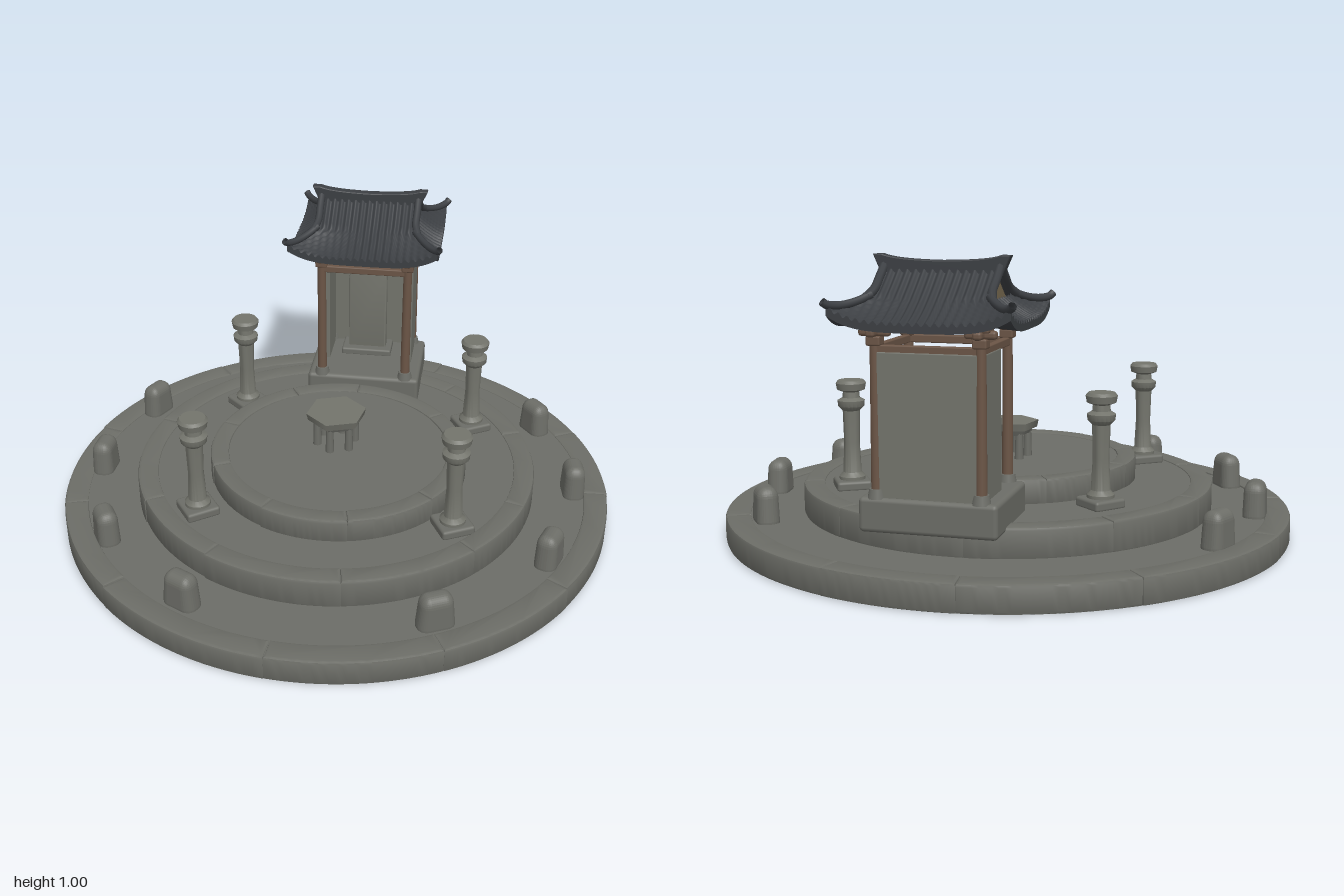
import * as THREE from 'three';
import { toCreasedNormals } from 'three/addons/utils/BufferGeometryUtils.js';
import { RoundedBoxGeometry } from 'three/addons/geometries/RoundedBoxGeometry.js';
import { ParametricGeometry } from 'three/addons/geometries/ParametricGeometry.js';

const mat = (color, side = THREE.FrontSide) => new THREE.MeshStandardMaterial({ color, side });
const stone = mat(0x6c6d67);
const paleStone = mat(0x73746c);
const wood = mat(0x6b5546);
const tile = mat(0x3c3f43, THREE.DoubleSide);
const plaster = mat(0x76684f, THREE.DoubleSide);

let seed = 7;
const rand = () => (seed = (seed * 16807) % 2147483647) / 2147483647;

function add(parent, name, geometry, material, x = 0, y = 0, z = 0, ry = 0) {
  const mesh = new THREE.Mesh(geometry, material);
  mesh.name = name;
  mesh.position.set(x, y, z);
  mesh.rotation.y = ry;
  parent.add(mesh);
  return mesh;
}

const box = (w, h, d, r = 0.01) => new RoundedBoxGeometry(w, h, d, 2, r);
const lathe = (points, n = 20) =>
  toCreasedNormals(new THREE.LatheGeometry(points.map(p => new THREE.Vector2(...p)), n), 0.7);

// Round terrace: a floor disc edged with curved kerb stones
function terrace(name, outer, inner, y0, y1, count, cz, turn) {
  const g = new THREE.Group();
  g.name = name;
  g.position.z = cz;
  const top = y1 - 0.008;
  add(g, 'floor', new THREE.CylinderGeometry(outer - 0.012, outer - 0.012, top - y0, 96), stone, 0, (top + y0) / 2);
  const b = 0.01;
  const cuts = Array.from({ length: count }, (_, i) => turn + ((i + (rand() - 0.5) * 0.35) / count) * Math.PI * 2);
  cuts.forEach((a0, i) => {
    const a1 = i < count - 1 ? cuts[i + 1] : cuts[0] + Math.PI * 2;
    const ro = outer - b - rand() * 0.006, ri = inner + b, gap = b * 0.9;
    const s = new THREE.Shape();
    s.absarc(0, 0, ro, a0 + gap / ro, a1 - gap / ro, false);
    s.absarc(0, 0, ri, a1 - gap / ri, a0 + gap / ri, true);
    const h = y1 - y0 - rand() * 0.004;
    const geo = new THREE.ExtrudeGeometry(s, {
      depth: h - 2 * b, bevelSize: b, bevelThickness: b, bevelSegments: 2, curveSegments: 14
    });
    geo.rotateX(-Math.PI / 2);
    add(g, 'kerbStone', toCreasedNormals(geo, 0.5), stone, 0, y0 + b, 0);
  });
  return g;
}

// Stone lamp post on a square foot
function lampPost(x, z, ry) {
  const g = new THREE.Group();
  g.name = 'lampPost';
  g.position.set(x, 0.18, z);
  g.rotation.y = ry;
  add(g, 'foot', box(0.12, 0.035, 0.12), stone, 0, 0.012);
  add(g, 'column', lathe([[0.045, 0.02], [0.045, 0.04], [0.032, 0.055], [0.027, 0.16], [0.03, 0.27],
    [0.045, 0.285], [0.047, 0.305], [0.03, 0.315], [0.028, 0.335], [0.048, 0.343], [0.052, 0.365],
    [0.044, 0.375], [0, 0.375]]), paleStone);
  return g;
}

// Boundary stone with a narrowed, rounded top
function boundaryStone(x, z) {
  const geo = new RoundedBoxGeometry(0.135, 0.15, 0.08, 4, 0.035);
  const p = geo.attributes.position;
  for (let i = 0; i < p.count; i++) {
    const k = 1 - 0.22 * (p.getY(i) / 0.15 + 0.5);
    p.setX(i, p.getX(i) * k);
    p.setZ(i, p.getZ(i) * (0.5 + k / 2));
  }
  geo.computeVertexNormals();
  const m = new THREE.Mesh(geo, stone);
  m.name = 'boundaryStone';
  m.position.set(x, 0.132, z);
  m.rotation.y = Math.atan2(x, z) + (rand() - 0.5) * 0.2;
  return m;
}

function table() {
  const g = new THREE.Group();
  g.name = 'table';
  add(g, 'tableTop', new THREE.CylinderGeometry(0.11, 0.104, 0.026, 6).toNonIndexed(), paleStone, 0, 0.372, 0, Math.PI / 6);
  add(g, 'tableApron', new THREE.CylinderGeometry(0.09, 0.082, 0.02, 6), stone, 0, 0.35, 0, Math.PI / 6);
  for (let i = 0; i < 6; i++) {
    const a = (i * Math.PI) / 3;
    add(g, 'tableLeg', new THREE.CylinderGeometry(0.013, 0.016, 0.1, 8), stone, 0.07 * Math.cos(a), 0.3, 0.07 * Math.sin(a));
  }
  return g;
}

// Hip-and-gable roof with corrugated tiles and upturned corners
function roof() {
  const g = new THREE.Group();
  g.name = 'roof';
  const HX = 0.28, HZ = 0.245, GX = 0.185, T0 = 0.5, LIFT = 0.045;
  const profile = t => 0.812 + 0.155 * Math.pow(1 - t, 1.35);
  const lift = (u, t) => LIFT * Math.pow(Math.abs(u), 4) * t ** 3;
  const halfWidth = t => (t < T0 ? GX : GX + ((HX - GX) * (t - T0)) / (1 - T0));
  const rib = c => 0.006 * Math.cos(c * 235);
  const front = (u, t, s) => new THREE.Vector3(u * halfWidth(t), profile(t) + lift(u, t), s * t * HZ);
  const skirt = (v, k, s) => {
    const t = T0 + (1 - T0) * k;
    return new THREE.Vector3(s * halfWidth(t), profile(t) + lift(v, t), v * t * HZ);
  };
  const surface = (name, fn, nu, nv, material = tile) => {
    const geo = new ParametricGeometry((u, v, out) => out.copy(fn(u * 2 - 1, v)), nu, nv);
    geo.computeVertexNormals();
    add(g, name, geo, material);
  };
  const ridgeTube = (name, pts, r) =>
    add(g, name, new THREE.TubeGeometry(new THREE.CatmullRomCurve3(pts), 24, r, 8), tile);

  for (const s of [1, -1]) {
    // Tiled slopes, eave edges and soffits
    const faces = [
      [(u, t) => front(u, t, s), 120, 12, 0],
      [(u, t) => skirt(u, t, s), 100, 8, 2]
    ];
    for (const [fn, nu, nv, axis] of faces) {
      const tiled = (u, t) => {
        const p = fn(u, t);
        p.y += rib(p.getComponent(axis));
        return p;
      };
      surface('tiledSlope', tiled, nu, nv);
      surface('eaveEdge', (u, k) => {
        const p = tiled(u, 1), q = fn(u, 1);
        q.y -= 0.026;
        return p.lerp(q, k);
      }, nu, 1);
      surface('soffit', (u, k) => {
        const p = fn(u, 1);
        p.y -= 0.026;
        return p.lerp(new THREE.Vector3(0, 0.796, 0), k);
      }, 24, 4);
    }
    // Gable wall above the side skirt
    surface('gableWall', (u, k) => {
      const top = profile(Math.abs(u) * T0);
      return new THREE.Vector3(s * (GX - 0.02), THREE.MathUtils.lerp(profile(T0) - 0.02, top, k), u * T0 * HZ);
    }, 16, 2, plaster);
    // Descending gable ridges and hip ridges
    for (const e of [1, -1]) {
      const onEdge = t => front(e, t, s).add(new THREE.Vector3(0, 0.008, 0));
      ridgeTube('gableRidge', [0, 0.2, 0.4, T0 + 0.06].map(onEdge), 0.014);
      const hip = [T0, 0.65, 0.8, 0.92, 1].map(onEdge);
      hip.push(new THREE.Vector3(e * (HX + 0.008), 0.874, s * (HZ + 0.008)));
      ridgeTube('hipRidge', hip, 0.013);
    }
  }
  // Main ridge, rising at both ends
  const r = new THREE.Shape();
  r.moveTo(-0.19, 0.945);
  r.lineTo(0.19, 0.945);
  r.lineTo(0.215, 1.0);
  r.lineTo(0.19, 1.0);
  r.quadraticCurveTo(0.15, 0.984, 0, 0.982);
  r.quadraticCurveTo(-0.15, 0.984, -0.19, 1.0);
  r.lineTo(-0.215, 1.0);
  const ridge = new THREE.ExtrudeGeometry(r, { depth: 0.022, bevelSize: 0.004, bevelThickness: 0.006, bevelSegments: 2 });
  add(g, 'mainRidge', ridge.translate(0, 0, -0.011), tile);
  return g;
}

function pavilion() {
  const g = new THREE.Group();
  g.name = 'pavilion';
  g.position.set(0.24, 0, -0.58);
  g.rotation.y = -0.33;
  const PX = 0.165, PZ = 0.15;
  add(g, 'plinth', box(0.44, 0.11, 0.35, 0.015), stone, 0, 0.22, 0);

  // Posts with stone feet and stepped brackets
  for (const sx of [1, -1]) for (const sz of [1, -1]) {
    const x = sx * PX, z = sz * PZ;
    add(g, 'postFoot', new THREE.CylinderGeometry(0.024, 0.03, 0.03, 16), stone, x, 0.285, z);
    add(g, 'post', new THREE.CylinderGeometry(0.016, 0.018, 0.45, 16), wood, x, 0.515, z);
    add(g, 'bracketBlock', box(0.045, 0.03, 0.045, 0.006), wood, x, 0.752, z);
    add(g, 'bracketArm', box(0.1, 0.026, 0.03, 0.01), wood, x, 0.778, z);
    add(g, 'bracketArm', box(0.03, 0.026, 0.1, 0.01), wood, x, 0.778, z);
    add(g, 'bracketCap', box(0.065, 0.02, 0.065, 0.006), wood, x, 0.795, z);
  }
  // Tie beams and side walls
  for (const s of [1, -1]) {
    add(g, 'longBeam', box(2 * PX, 0.026, 0.022, 0.004), wood, 0, 0.727, s * PZ);
    add(g, 'crossBeam', box(0.022, 0.026, 2 * PZ, 0.004), wood, s * PX, 0.727, 0);
    add(g, 'sideWall', box(0.026, 0.45, 0.18, 0.005), paleStone, s * PX, 0.495, -0.06);
  }
  add(g, 'backWall', box(2 * PX, 0.45, 0.026, 0.005), paleStone, 0, 0.495, -PZ);

  // Round-topped tablet
  const t = new THREE.Shape();
  t.moveTo(-0.07, 0);
  t.lineTo(0.07, 0);
  t.lineTo(0.07, 0.31);
  t.quadraticCurveTo(0.065, 0.355, 0, 0.358);
  t.quadraticCurveTo(-0.065, 0.355, -0.07, 0.31);
  const slab = new THREE.ExtrudeGeometry(t, { depth: 0.03, bevelSize: 0.006, bevelThickness: 0.006, bevelSegments: 2 });
  add(g, 'tablet', toCreasedNormals(slab, 0.5), paleStone, -0.01, 0.29, -0.08);
  add(g, 'tabletBase', box(0.2, 0.03, 0.11, 0.008), stone, -0.01, 0.285, -0.065);
  g.add(roof());
  return g;
}

export function createModel() {
  const model = new THREE.Group();
  model.name = 'terracedShrine';
  model.add(terrace('lowerTerrace', 1.0, 0.91, 0, 0.093, 11, 0, 0.25));
  model.add(terrace('middleTerrace', 0.728, 0.65, 0.08, 0.187, 10, 0, 0.1));
  model.add(terrace('upperTerrace', 0.465, 0.395, 0.17, 0.263, 9, 0.04, 0.4));

  const posts = [[-0.27, -0.46, 0.5], [0.55, -0.13, 0.2], [-0.53, 0.23, 0.3], [0.31, 0.49, 0.15]];
  posts.forEach(p => model.add(lampPost(...p)));

  const stones = [[-0.62, -0.63], [-0.84, -0.25], [-0.85, 0.2], [-0.62, 0.6],
    [0.16, 0.85], [0.62, 0.61], [0.84, 0.23], [0.84, -0.21]];
  stones.forEach(p => model.add(boundaryStone(...p)));

  model.add(table(), pavilion());
  return model;
}
